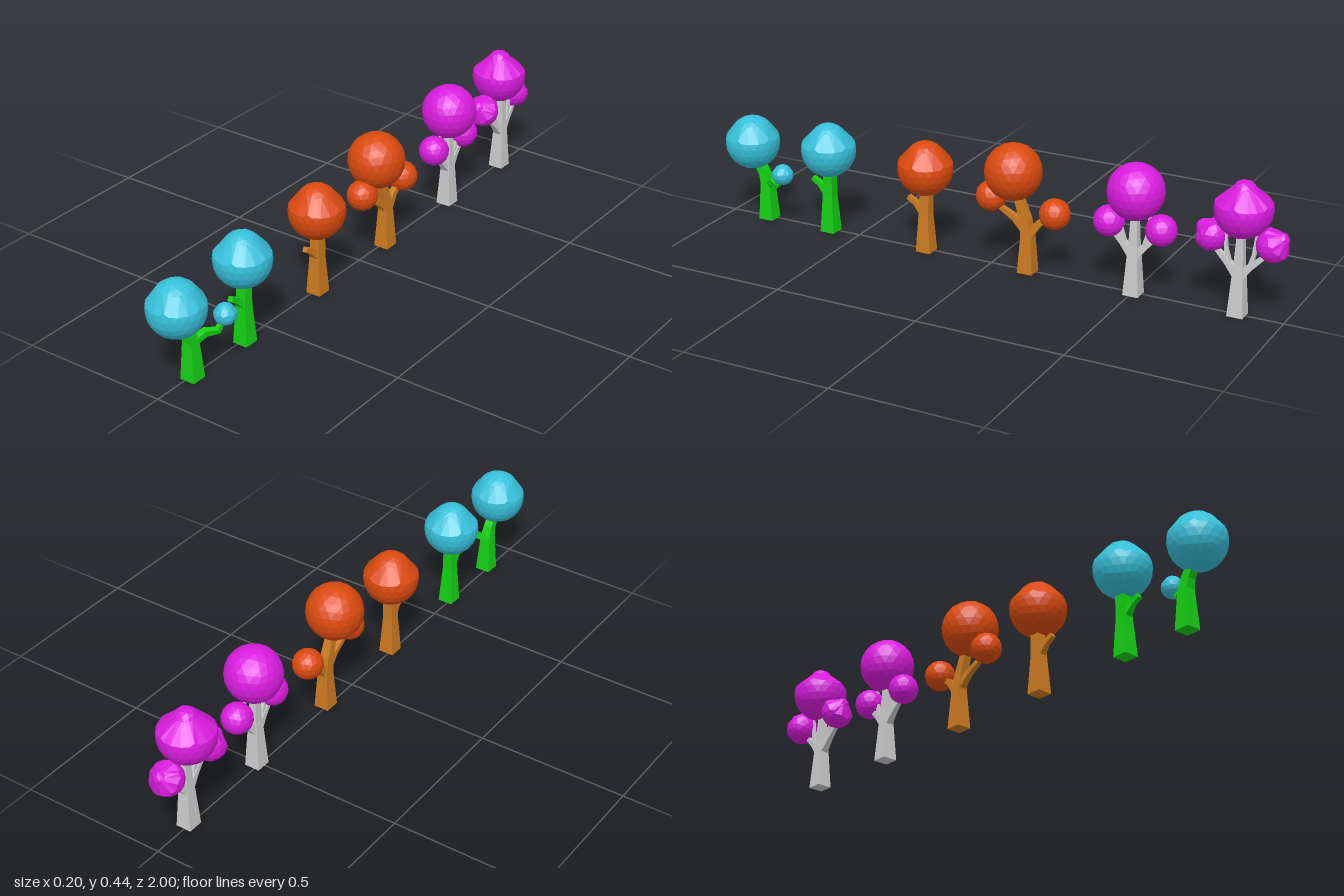
import * as THREE from 'three';

const X = 0.009;
const mat = (color) => new THREE.MeshStandardMaterial({ color, flatShading: true });

// Square tapering limb lofted along points [x, y, z, halfWidth]
function limb(name, points, material) {
  const p = points.map((q) => new THREE.Vector3(q[0], q[1], q[2]));
  const xAxis = new THREE.Vector3(1, 0, 0);
  const pos = [], idx = [];
  p.forEach((c, i) => {
    const t = p[Math.min(i + 1, p.length - 1)].clone().sub(p[Math.max(i - 1, 0)]).normalize();
    if (i === 0 && c.y === 0) t.set(0, 1, 0);
    const n = xAxis.clone().cross(t).normalize();
    const s = t.clone().cross(n);
    for (const [a, b] of [[1, 1], [1, -1], [-1, -1], [-1, 1]]) {
      const v = c.clone().addScaledVector(s, a * points[i][3]).addScaledVector(n, b * points[i][3]);
      pos.push(v.x, v.y, v.z);
    }
    if (i > 0) {
      for (let k = 0; k < 4; k++) {
        const a = (i - 1) * 4 + k, b = (i - 1) * 4 + (k + 1) % 4;
        idx.push(a, b, b + 4, a, b + 4, a + 4);
      }
    }
  });
  const e = (p.length - 1) * 4;
  idx.push(0, 3, 2, 0, 2, 1, e, e + 1, e + 2, e, e + 2, e + 3);
  let g = new THREE.BufferGeometry();
  g.setAttribute('position', new THREE.Float32BufferAttribute(pos, 3));
  g.setIndex(idx);
  g = g.toNonIndexed();
  g.computeVertexNormals();
  const mesh = new THREE.Mesh(g, material);
  mesh.name = name;
  return mesh;
}

// Faceted ball; a pinch above zero gives it a domed crown over a jagged rim
function foliage(name, [x, y, z, r], material, { pinch = 0, detail = 3, tilt = 0 } = {}) {
  const g = new THREE.IcosahedronGeometry(1, detail);
  g.rotateZ(-Math.atan(2 / (1 + Math.sqrt(5)))); // a corner points straight up
  if (pinch > 0) {
    const p = g.attributes.position;
    for (let i = 0; i < p.count; i++) {
      let h = p.getY(i);
      if (h < 0.17) continue;
      const a = Math.atan2(p.getZ(i), p.getX(i));
      if (h < 0.5) h = 0.22 + 0.09 * Math.cos(a * 10);
      else if (h < 0.76) h = 0.76;
      const squeeze = h > 0.5 ? 1 - pinch * Math.min(1, (1 - h) * 4 + 0.3) : 1;
      const rad = Math.sqrt(Math.max(0, 1 - h * h)) * squeeze;
      const flat = Math.hypot(p.getX(i), p.getZ(i)) < 1e-4;
      p.setXYZ(i, flat ? 0 : Math.cos(a) * rad, h, flat ? 0 : Math.sin(a) * rad);
    }
  }
  g.computeVertexNormals();
  const mesh = new THREE.Mesh(g, material);
  mesh.name = name;
  mesh.scale.setScalar(r);
  mesh.rotation.x = tilt;
  mesh.position.set(x, y, z);
  return mesh;
}

export function createModel() {
  const model = new THREE.Group();
  model.name = 'treeRow';
  const blue = mat(0x36c0da), green = mat(0x14d014);
  const orange = mat(0xdb4a0e), brown = mat(0xcc7a20);
  const magenta = mat(0xda1cde), grey = mat(0xcccccc);
  const tree = (name, ...parts) => {
    const g = new THREE.Group();
    g.name = name;
    g.add(...parts);
    model.add(g);
  };

  // Leaning tree with a side branch carrying a small ball
  tree('leaningTree',
    limb('trunk', [[X, 0, 0.853, 0.026], [X, 0.13, 0.855, 0.018], [X, 0.165, 0.866, 0.015], [X, 0.22, 0.9, 0.014]], green),
    limb('sideBranch', [[0.012, 0.125, 0.845, 0.012], [0.033, 0.148, 0.815, 0.011], [0.055, 0.147, 0.785, 0.009], [0.062, 0.18, 0.762, 0.006]], green),
    foliage('crown', [0.008, 0.267, 0.909, 0.092], blue, { pinch: 0.08 }),
    foliage('smallFoliage', [0.062, 0.192, 0.757, 0.036], blue, { pinch: 0.08, detail: 2 }));

  // Two upright trees, each with a bare stub
  for (const [name, z, wood, leaf, pinch] of [
    ['stubTree', 0.606, green, blue, 0.18], ['autumnStubTree', 0.237, brown, orange, 0.15]]) {
    tree(name,
      limb('trunk', [[X, 0, z, 0.026], [X, 0.13, z, 0.018], [X, 0.24, z - 0.004, 0.016]], wood),
      limb('stub', [[X, 0.135, z + 0.005, 0.014], [X, 0.163, z + 0.035, 0.009], [X, 0.18, z + 0.064, 0.008]], wood),
      foliage('crown', [X, 0.29, z, 0.092], leaf, { pinch }));
  }

  // Forked tree with its crown off to one side
  tree('forkedTree',
    limb('trunk', [[X, 0, -0.136, 0.026], [X, 0.13, -0.136, 0.018], [X, 0.18, -0.128, 0.016], [X, 0.28, -0.095, 0.012]], brown),
    limb('frontBranch', [[X, 0.145, -0.128, 0.013], [X, 0.18, -0.09, 0.01], [X, 0.215, -0.025, 0.007]], brown),
    limb('backBranch', [[X, 0.13, -0.142, 0.014], [X, 0.175, -0.175, 0.011], [X, 0.2, -0.215, 0.007]], brown),
    foliage('crown', [X, 0.335, -0.083, 0.094], orange),
    foliage('frontFoliage', [X, 0.24, -0.005, 0.051], orange, { detail: 2 }),
    foliage('backFoliage', [X, 0.217, -0.23, 0.051], orange, { detail: 2 }));

  // Two symmetrical trees, one with round foliage and one with pointed foliage
  for (const [name, x, cx, z, spread, pinch] of [
    ['roundTree', X, X, -0.506, 0.088, 0], ['pointedTree', 0.003, -0.01, -0.851, 0.1, 0.38]]) {
    const parts = [
      limb('trunk', [[x, 0, z, 0.026], [x, 0.13, z, 0.018], [x, 0.17, z, 0.015], [x, 0.28, z, 0.01]], grey),
      foliage('crown', [cx, 0.345, z, 0.092], magenta, { pinch })];
    for (const s of [1, -1]) {
      parts.push(
        limb('branch', [[x, 0.135, z + s * 0.006, 0.014], [x, 0.17, z + s * 0.038, 0.01], [x, 0.205, z + s * 0.075, 0.007]], grey),
        limb('twig', [[x, 0.165, z + s * 0.032, 0.007], [x, 0.21, z + s * 0.045, 0.006], [x, 0.27, z + s * 0.05, 0.004]], grey),
        foliage('sideFoliage', [cx, pinch ? 0.247 : 0.232, z + s * spread, pinch ? 0.055 : 0.051], magenta,
          { detail: 2, pinch, tilt: pinch ? s * 0.9 : 0 }));
    }
    tree(name, ...parts);
  }
  return model;
}
